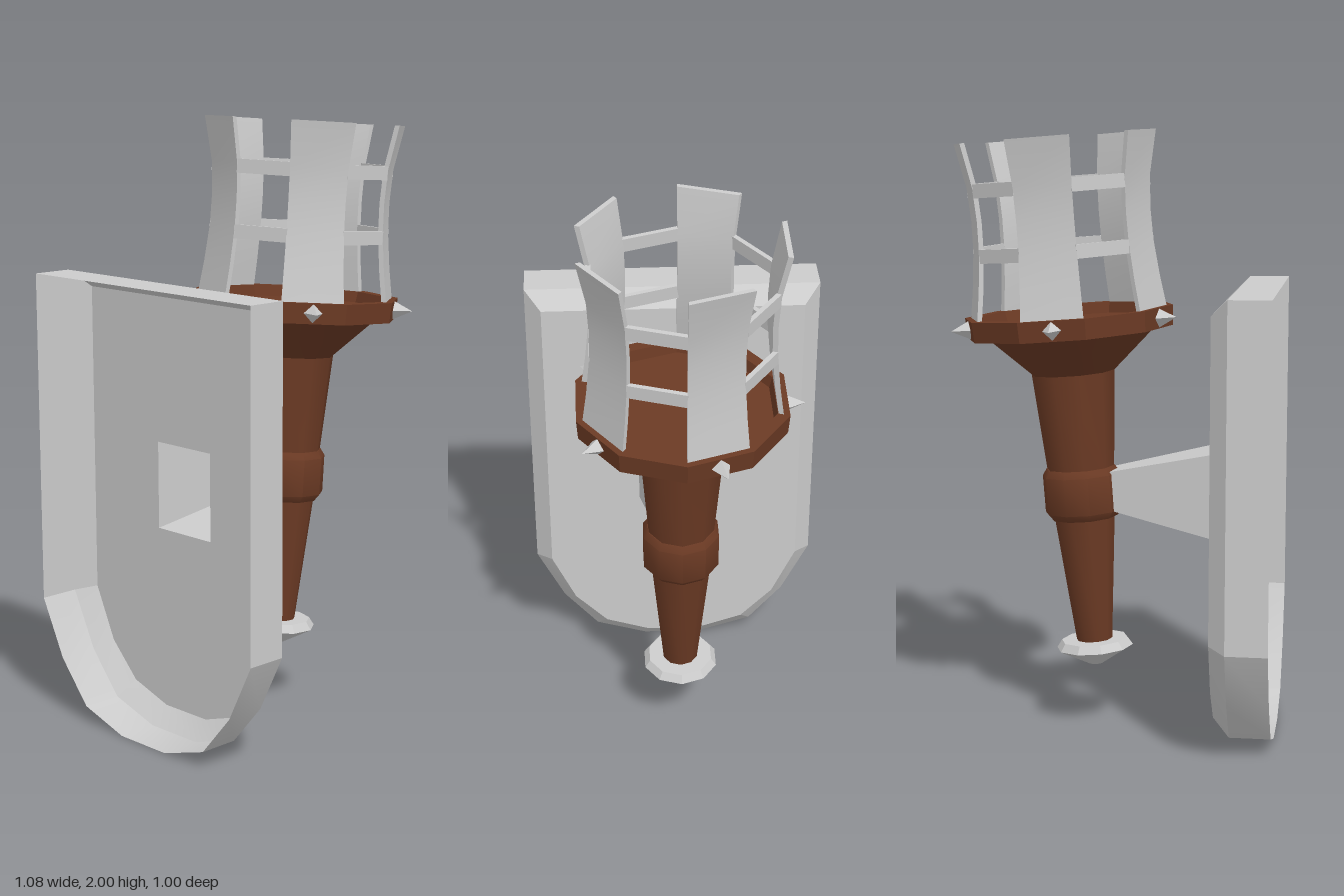
import * as THREE from 'three';
import { toCreasedNormals } from 'three/addons/utils/BufferGeometryUtils.js';

const SIDES = 10;
const grey = new THREE.MeshStandardMaterial({ color: 0xcccccc });
const greyOpen = new THREE.MeshStandardMaterial({ color: 0xcccccc, side: THREE.DoubleSide });
const brown = new THREE.MeshStandardMaterial({ color: 0x6b3a24 });

function part(name, geometry, material, parent) {
  const mesh = new THREE.Mesh(geometry, material);
  mesh.name = name;
  parent.add(mesh);
  return mesh;
}

// Ten-sided turned part; profile is [radius, height] from bottom to top
function turned(profile, crease) {
  const points = profile.map(([r, y]) => new THREE.Vector2(r, y));
  return toCreasedNormals(new THREE.LatheGeometry(points, SIDES, Math.PI / 2), crease);
}

// Skin over matching cross-sections, corners counterclockwise about the direction of travel
function loft(sections, capped, crease) {
  const pos = [];
  const n = sections[0].length;
  const tri = (...corners) => corners.forEach((c) => pos.push(...c));
  for (let k = 0; k < sections.length - 1; k++) {
    for (let i = 0; i < n; i++) {
      const j = (i + 1) % n;
      const [s, t] = [sections[k], sections[k + 1]];
      tri(s[i], s[j], t[j]);
      tri(s[i], t[j], t[i]);
    }
  }
  if (capped) {
    const first = sections[0];
    const last = sections[sections.length - 1];
    for (let i = 1; i < n - 1; i++) {
      tri(first[0], first[i + 1], first[i]);
      tri(last[0], last[i], last[i + 1]);
    }
  }
  const g = new THREE.BufferGeometry();
  g.setAttribute('position', new THREE.Float32BufferAttribute(pos, 3));
  g.computeVertexNormals();
  return toCreasedNormals(g, crease);
}

function createWallMount() {
  const mount = new THREE.Group();
  mount.name = 'wallMount';

  // Shield outlines as [z, y], half given and half mirrored
  const mirror = (half) => [...half, ...half.map(([z, y]) => [-z, y]).reverse()];
  const outer = mirror([[0.5, 1.49], [0.5, 0.385], [0.405, 0.195], [0.285, 0.055], [0.105, 0]]);
  const inner = mirror([[0.445, 1.435], [0.445, 0.4], [0.363, 0.225], [0.25, 0.11], [0.095, 0.06]]);
  const at = (outline, x) => outline.map(([z, y]) => [x, y, z]);

  // Bevelled shell, open at the back
  part('shieldRim', loft([at(outer, -0.54), at(outer, -0.405), at(inner, -0.35)], false, 0.3),
    greyOpen, mount);

  // Front panel with an opening where the bracket joins
  const rect = (w, y0, y1) => [[w, y1], [w, y0], [-w, y0], [-w, y1]];
  const toPoints = (outline) => outline.map(([z, y]) => new THREE.Vector2(z, y));
  const base = rect(0.123, 0.667, 0.957);
  const face = new THREE.Shape(toPoints(inner));
  face.holes.push(new THREE.Path(toPoints(base)));
  const panel = part('shieldFace', new THREE.ShapeGeometry(face), greyOpen, mount);
  panel.rotation.y = Math.PI / 2;
  panel.position.x = -0.35;

  // Tapered arm to the collar
  const tip = rect(0.055, 0.755, 0.87);
  part('bracket', loft([at(base, -0.35), at(tip, 0.05)], false, 0.1), greyOpen, mount);
  return mount;
}

function createTorch() {
  const torch = new THREE.Group();
  torch.name = 'torch';

  part('pommel', turned([[0, 0], [0.025, 0.003], [0.13, 0.062], [0.112, 0.088], [0, 0.088]], 0.3),
    grey, torch);
  part('shaft', turned([[0.06, 0.08], [0.103, 0.52], [0.113, 0.67], [0.14, 1.0], [0.29, 1.137]], 0.65),
    brown, torch);
  part('collar', turned([[0.09, 0.51], [0.113, 0.51], [0.131, 0.533], [0.131, 0.657], [0.116, 0.68], [0.1, 0.68]], 0.65),
    brown, torch);
  part('cupRim', turned([[0.28, 1.135], [0.345, 1.135], [0.35, 1.202], [0.31, 1.202], [0.3, 1.165], [0, 1.165]], 0.3),
    brown, torch);

  // Cage: five curved slats with studs below them, joined by two rows of rails
  const thick = 0.016;
  const slope = Math.tan(Math.PI / SIDES);
  const curve = [[0.315, 1.185], [0.299, 1.3], [0.287, 1.42], [0.285, 1.52], [0.291, 1.63], [0.32, 1.775]];
  const slatGeometry = loft(curve.map(([a, y]) => {
    const w = a * slope;
    const v = (a - thick) * slope;
    return [[a, y, w], [a, y, -w], [a - thick, y, -v], [a - thick, y, v]];
  }), true, 0.4);
  const railGeometry = new THREE.BoxGeometry(thick, 0.045, 0.19);
  const studGeometry = new THREE.ConeGeometry(0.032, 0.065, 4).toNonIndexed();
  studGeometry.computeVertexNormals();

  for (let i = 0; i < 5; i++) {
    const angle = Math.PI / 2 + (i * 2 * Math.PI) / 5;
    const sector = new THREE.Group();
    sector.name = 'cageSector';
    sector.rotation.y = angle;
    torch.add(sector);
    part('slat', slatGeometry, grey, sector);
    const stud = part('stud', studGeometry, grey, sector);
    stud.rotation.z = -Math.PI / 2;
    stud.position.set(0.36, 1.17, 0);

    const gap = new THREE.Group();
    gap.name = 'cageRails';
    gap.rotation.y = angle + Math.PI / 5;
    torch.add(gap);
    for (const [a, y] of [[0.279, 1.41], [0.282, 1.62]]) {
      part('rail', railGeometry, grey, gap).position.set(a, y, 0);
    }
  }

  // Lean away from the wall
  torch.position.set(0.07, 0.205, 0);
  torch.rotation.z = -0.078;
  return torch;
}

export function createModel() {
  const model = new THREE.Group();
  model.name = 'wallTorch';
  model.add(createWallMount(), createTorch());
  return model;
}
